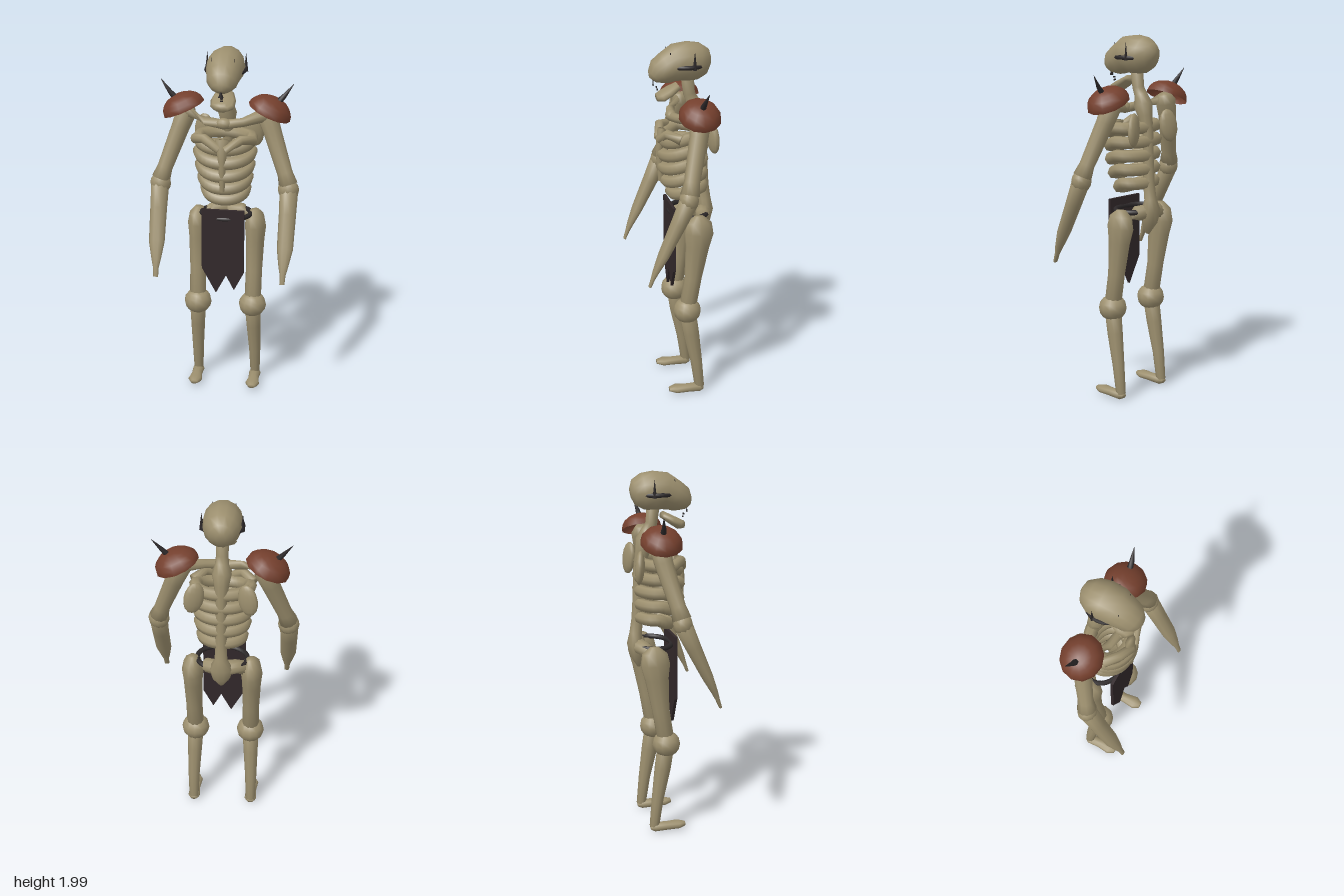
import * as THREE from 'three';

const mat = (name, color, side = THREE.FrontSide) => {
  const m = new THREE.MeshStandardMaterial({ color, side });
  m.name = name;
  return m;
};

// Smooth capped skin over elliptical rings; each section is [x, y, z, ru, rv]
function loft(sections, n = 10) {
  const pts = sections.map(s => new THREE.Vector3(s[0], s[1], s[2]));
  const pos = [], idx = [], last = pts.length - 1;
  pts.forEach((p, k) => {
    const t = pts[Math.min(k + 1, last)].clone().sub(pts[Math.max(k - 1, 0)]).normalize();
    const ref = Math.abs(t.x) > 0.85 ? new THREE.Vector3(0, 0, 1) : new THREE.Vector3(1, 0, 0);
    const u = ref.addScaledVector(t, -ref.dot(t)).normalize();
    const v = t.clone().cross(u);
    const ru = sections[k][3], rv = sections[k][4] ?? ru;
    for (let j = 0; j < n; j++) {
      const a = j / n * Math.PI * 2;
      const q = p.clone().addScaledVector(u, Math.cos(a) * ru).addScaledVector(v, Math.sin(a) * rv);
      pos.push(q.x, q.y, q.z);
    }
  });
  for (let k = 0; k < last; k++) for (let j = 0; j < n; j++) {
    const a = k * n + j, b = k * n + (j + 1) % n;
    idx.push(a, b, a + n, b, b + n, a + n);
  }
  const c0 = pos.length / 3;
  pos.push(...pts[0].toArray(), ...pts[last].toArray());
  for (let j = 0; j < n; j++) {
    const j1 = (j + 1) % n;
    idx.push(c0, j1, j, c0 + 1, last * n + j, last * n + j1);
  }
  const g = new THREE.BufferGeometry();
  g.setAttribute('position', new THREE.Float32BufferAttribute(pos, 3));
  g.setIndex(idx);
  g.computeVertexNormals();
  return g;
}

const ball = (rx, ry, rz) => new THREE.SphereGeometry(1, 12, 8).scale(rx, ry, rz);

// Closed horizontal loop; dip lowers its front
function loop(rx, rz, y, zc, r, dip = 0) {
  const pts = [];
  for (let i = 0; i < 16; i++) {
    const a = i / 16 * Math.PI * 2, c = Math.cos(a);
    pts.push(new THREE.Vector3(rx * Math.sin(a), y - dip * Math.max(0, c), zc + rz * c));
  }
  return new THREE.TubeGeometry(new THREE.CatmullRomCurve3(pts, true), 32, r, 7, true);
}

export function createModel() {
  const root = new THREE.Group();
  root.name = 'skeletonWarrior';
  const bone = mat('bone', 0x9c8f6e);
  const leather = mat('red leather', 0x743f2d, THREE.DoubleSide);
  const cloth = mat('dark cloth', 0x32282a);
  const iron = mat('dark iron', 0x2c2829);
  const add = (name, geo, material, x = 0, y = 0, z = 0) => {
    const m = new THREE.Mesh(geo, material);
    m.name = name;
    m.position.set(x, y, z);
    root.add(m);
    return m;
  };

  // Skull and open jaw
  add('skull', loft([
    [0, 1.885, -0.192, 0.025, 0.03], [0, 1.888, -0.175, 0.062, 0.07],
    [0, 1.893, -0.13, 0.092, 0.097], [0, 1.895, -0.07, 0.103, 0.105],
    [0, 1.892, -0.01, 0.1, 0.1], [0, 1.868, 0.04, 0.088, 0.085],
    [0, 1.845, 0.08, 0.08, 0.075], [0, 1.82, 0.106, 0.055, 0.048],
    [0, 1.805, 0.117, 0.025, 0.025]], 14), bone);
  add('jaw', loft([
    [0, 1.765, -0.02, 0.05, 0.02], [0, 1.735, 0.03, 0.068, 0.025],
    [0, 1.712, 0.07, 0.064, 0.028], [0, 1.708, 0.098, 0.035, 0.02]]), bone);
  const nose = add('noseHole', new THREE.ConeGeometry(0.015, 0.04, 4), iron, 0, 1.795, 0.116);
  nose.scale.z = 0.3;
  for (let i = 0; i < 2; i++)
    add('toothGap', new THREE.BoxGeometry(0.014, 0.008, 0.006), iron, 0, 1.765 - i * 0.014, 0.098 - i * 0.004);

  // Spiked headband, sunk into brow and nape
  add('headband', loop(0.103, 0.105, 1.882, -0.057, 0.012), iron);

  // Neck, spine and sacrum
  add('spine', loft([
    [0, 1.81, -0.07, 0.035], [0, 1.72, -0.08, 0.032], [0, 1.68, -0.1, 0.036],
    [0, 1.63, -0.115, 0.052], [0, 1.57, -0.13, 0.04], [0, 1.48, -0.15, 0.03],
    [0, 1.32, -0.155, 0.03], [0, 1.2, -0.16, 0.032], [0, 1.12, -0.17, 0.034],
    [0, 1.06, -0.175, 0.065, 0.042], [0, 0.99, -0.165, 0.05, 0.035], [0, 0.93, -0.15, 0.012]]), bone);

  // Ribs: [half width, y, back z, front z]
  [[0.145, 1.51, -0.14, 0.06], [0.143, 1.435, -0.15, 0.068], [0.133, 1.36, -0.15, 0.066],
   [0.122, 1.285, -0.15, 0.05], [0.108, 1.21, -0.15, 0.015]].forEach(([rx, y, zb, zf]) =>
    add('rib', loop(rx, (zf - zb) / 2, y, (zf + zb) / 2, 0.034, 0.04), bone));
  add('sternum', loft([[0, 1.53, 0.07, 0.04, 0.022], [0, 1.42, 0.085, 0.022, 0.02],
    [0, 1.24, 0.075, 0.014, 0.016]]), bone);
  add('collarKnob', ball(0.045, 0.03, 0.03), bone, 0, 1.605, 0.02);

  for (const s of [1, -1]) {
    const P = rows => rows.map(r => [r[0] * s, ...r.slice(1)]);

    // Eye socket and headband spikes
    const eye = add('eyeSocket', new THREE.SphereGeometry(0.034, 8, 6), iron, s * 0.042, 1.847, 0.09);
    eye.scale.set(1, 0.85, 0.45);
    eye.rotation.set(-0.3, s * 0.5, 0);
    for (const [x, z] of [[0.06, 0.035], [0.104, -0.085]])
      add('headSpike', new THREE.ConeGeometry(0.012, 0.1, 4), iron, s * x, 1.918, z);

    // Shoulder girdle
    add('collarbone', loft(P([[0, 1.6, 0.02, 0.026], [0.1, 1.61, 0, 0.024], [0.22, 1.64, -0.07, 0.04]])), bone);
    const blade = add('shoulderBlade', ball(0.055, 0.09, 0.026), bone, s * 0.14, 1.51, -0.175);
    blade.rotation.set(0.05, s * 0.3, s * 0.15);
    add('pectoral', loft(P([[0.015, 1.48, 0.085, 0.024], [0.1, 1.53, 0.06, 0.026], [0.16, 1.51, 0.0, 0.028]])), bone);

    // Arm, elbow and hand stub
    add('upperArm', loft(P([[0.205, 1.67, -0.085, 0.035], [0.22, 1.63, -0.085, 0.056],
      [0.25, 1.55, -0.072, 0.05], [0.33, 1.33, -0.015, 0.042], [0.35, 1.27, 0, 0.052]])), bone);
    add('elbow', ball(0.058, 0.06, 0.052), bone, s * 0.352, 1.245, 0.005);
    add('forearm', loft(P([[0.355, 1.23, 0.01, 0.05], [0.355, 1.12, 0.06, 0.047, 0.042],
      [0.353, 0.95, 0.14, 0.044, 0.03], [0.35, 0.86, 0.182, 0.026, 0.018],
      [0.349, 0.82, 0.198, 0.016, 0.012], [0.348, 0.772, 0.216, 0.014, 0.008]])), bone);

    // Domed shoulder guard with a spike
    const guard = add('shoulderGuard',
      new THREE.SphereGeometry(0.122, 12, 5, 0, Math.PI * 2, 0, Math.PI / 2).scale(1, 0.72, 0.92), leather, s * 0.232, 1.65, -0.08);
    guard.rotation.z = -s * 0.42;
    add('guardSpike', loft(P([[0.265, 1.69, -0.08, 0.02], [0.31, 1.74, -0.085, 0.013], [0.36, 1.805, -0.098, 0.001]]), 6), iron);

    // Hip, leg and foot
    add('hipBone', loft(P([[0, 1.05, -0.165, 0.045], [0.08, 1.05, -0.14, 0.04], [0.15, 1.01, -0.1, 0.045]])), bone);
    add('thigh', loft(P([[0.155, 1.075, -0.1, 0.025], [0.16, 1.04, -0.1, 0.05, 0.07],
      [0.162, 0.98, -0.098, 0.06, 0.082], [0.162, 0.9, -0.09, 0.052, 0.066],
      [0.16, 0.72, -0.068, 0.046, 0.048], [0.158, 0.55, -0.04, 0.047]])), bone);
    add('knee', ball(0.078, 0.072, 0.077), bone, s * 0.157, 0.52, -0.036);
    add('shin', loft(P([[0.159, 0.5, -0.04, 0.046], [0.162, 0.38, -0.058, 0.041, 0.045],
      [0.167, 0.2, -0.088, 0.033], [0.168, 0.04, -0.107, 0.027]])), bone);
    add('foot', loft(P([[0.168, 0.03, -0.128, 0.018, 0.012], [0.168, 0.034, -0.105, 0.034, 0.026],
      [0.168, 0.034, -0.04, 0.03, 0.024], [0.168, 0.037, 0.03, 0.04, 0.022],
      [0.168, 0.038, 0.068, 0.02, 0.012]])), bone);
  }

  // Belt and ragged loincloth
  add('belt', loop(0.138, 0.105, 1.058, -0.078, 0.014), iron);
  const rag = new THREE.Shape([[-0.122, 1.112], [-0.122, 0.76], [-0.042, 0.61], [0.015, 0.72],
    [0.06, 0.632], [0.115, 0.74], [0.115, 1.112]].map(p => new THREE.Vector2(...p)));
  add('loincloth', new THREE.ExtrudeGeometry(rag, { depth: 0.016, bevelEnabled: false }), cloth, 0, 0, 0.019);

  return root;
}
